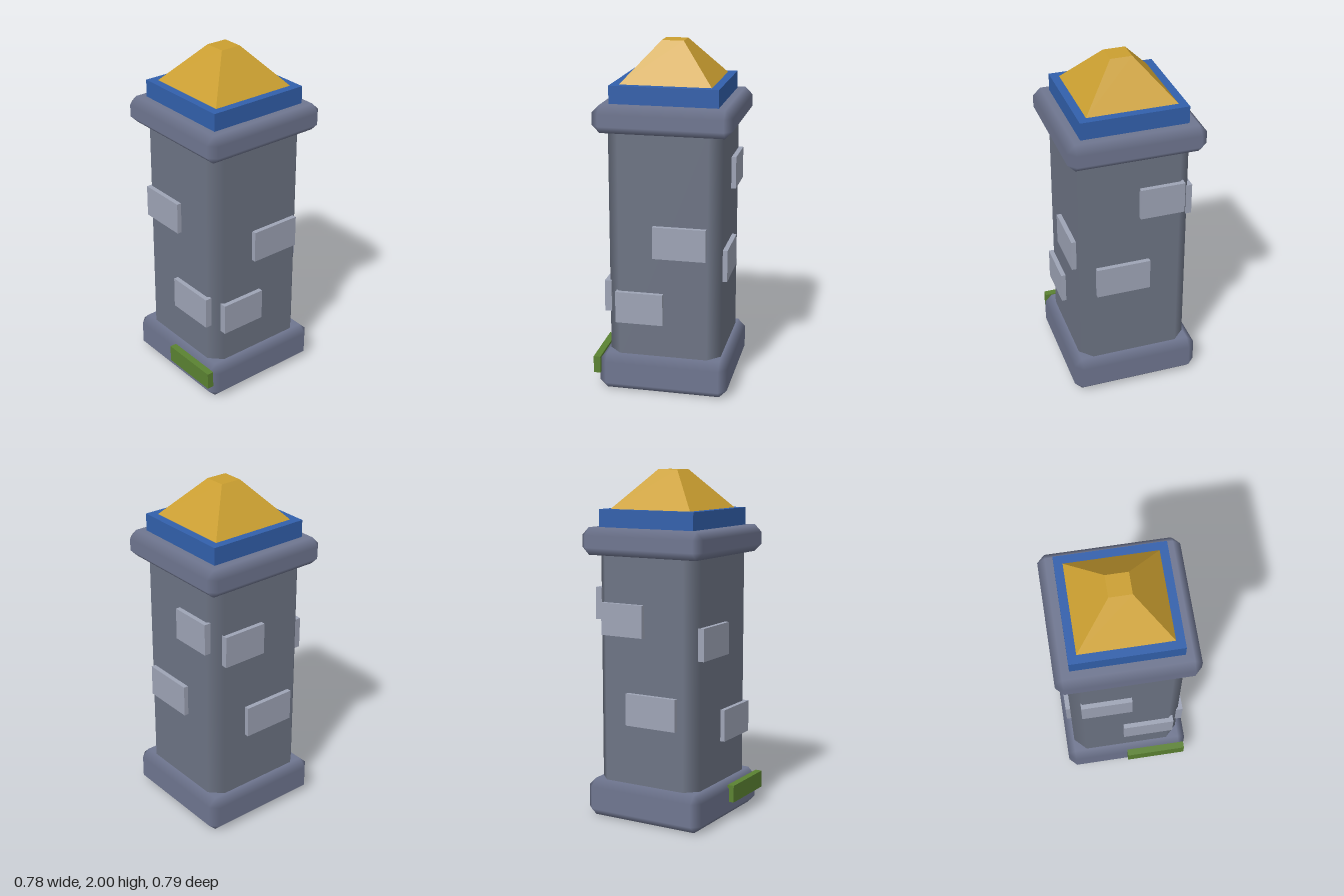
import * as THREE from 'three';
import { ConvexGeometry } from 'three/addons/geometries/ConvexGeometry.js';

const mat = (color) => new THREE.MeshStandardMaterial({ color });
const slate = mat(0x6f7690);
const stone = mat(0x6d7484);
const brick = mat(0x9ea4b6);
const blue = mat(0x3260ac);
const gold = mat(0xcb9f30);
const green = mat(0x5b8232);

// Box with every edge cut by one chamfer; normals follow the six main faces
// so the chamfers shade softly between them.
function chamferedBox(w, h, d, bevel) {
  const half = [w / 2, h / 2, d / 2];
  const points = [];
  for (let axis = 0; axis < 3; axis++) {
    for (let i = 0; i < 8; i++) {
      const p = half.map((s, k) => (i & (1 << k) ? 1 : -1) * (k === axis ? s : s - bevel));
      points.push(new THREE.Vector3(...p));
    }
  }
  const geometry = new ConvexGeometry(points);
  const pos = geometry.attributes.position;
  const normal = geometry.attributes.normal;
  for (let i = 0; i < pos.count; i++) {
    const p = [pos.getX(i), pos.getY(i), pos.getZ(i)];
    const n = p.map((v, k) => (Math.abs(Math.abs(v) - half[k]) < 1e-4 ? Math.sign(v) : 0));
    normal.setXYZ(i, ...n);
  }
  return geometry;
}

export function createModel() {
  const model = new THREE.Group();
  model.name = 'stonePillar';

  const pillar = new THREE.Group();
  pillar.name = 'pillar';
  pillar.position.z = -0.007;
  model.add(pillar);

  const add = (name, geometry, material, x, y, z) => {
    const mesh = new THREE.Mesh(geometry, material);
    mesh.name = name;
    mesh.position.set(x, y, z);
    pillar.add(mesh);
    return mesh;
  };

  // Stone body
  add('base', chamferedBox(0.75, 0.22, 0.75, 0.045), slate, 0, 0.11, 0);
  add('shaft', chamferedBox(0.65, 1.5, 0.65, 0.07), stone, 0, 0.87, 0);
  add('cap', chamferedBox(0.78, 0.155, 0.78, 0.043), slate, 0, 1.6025, 0);

  // Roof: blue slab and truncated golden pyramid
  add('roofSlab', new THREE.BoxGeometry(0.61, 0.105, 0.61), blue, 0, 1.7275, 0);
  const pyramid = new THREE.BoxGeometry(0.515, 0.22, 0.515);
  const pos = pyramid.attributes.position;
  for (let i = 0; i < pos.count; i++) {
    if (pos.getY(i) > 0) {
      pos.setX(i, Math.sign(pos.getX(i)) * 0.062);
      pos.setZ(i, Math.sign(pos.getZ(i)) * 0.062);
    }
  }
  pyramid.computeVertexNormals();
  add('roofPyramid', pyramid, gold, 0, 1.89, 0);

  // Raised bricks: side, range along the face (x or z), bottom height
  const bricks = [
    ['front', -0.265, 0.025, 0.963],
    ['front', -0.02, 0.28, 0.458],
    ['left', -0.248, 0.055, 0.82],
    ['left', -0.003, 0.272, 0.42],
    ['back', -0.276, -0.02, 1.15],
    ['back', -0.08, 0.234, 0.672],
    ['right', -0.265, 0.005, 1.075],
    ['right', -0.105, 0.215, 0.567],
  ];
  const thickness = 0.04, height = 0.185, offset = 0.332;
  for (const [side, from, to, bottom] of bricks) {
    const mid = (from + to) / 2, length = to - from, y = bottom + height / 2;
    const sign = side === 'front' || side === 'left' ? 1 : -1;
    if (side === 'front' || side === 'back') {
      add(side + 'Brick', new THREE.BoxGeometry(length, height, thickness), brick, mid, y, sign * offset);
    } else {
      add(side + 'Brick', new THREE.BoxGeometry(thickness, height, length), brick, sign * offset, y, mid);
    }
  }

  // Moss strip on the front of the base
  add('mossStrip', new THREE.BoxGeometry(0.36, 0.1, 0.04), green, 0.18, 0.148, 0.385);

  return model;
}
